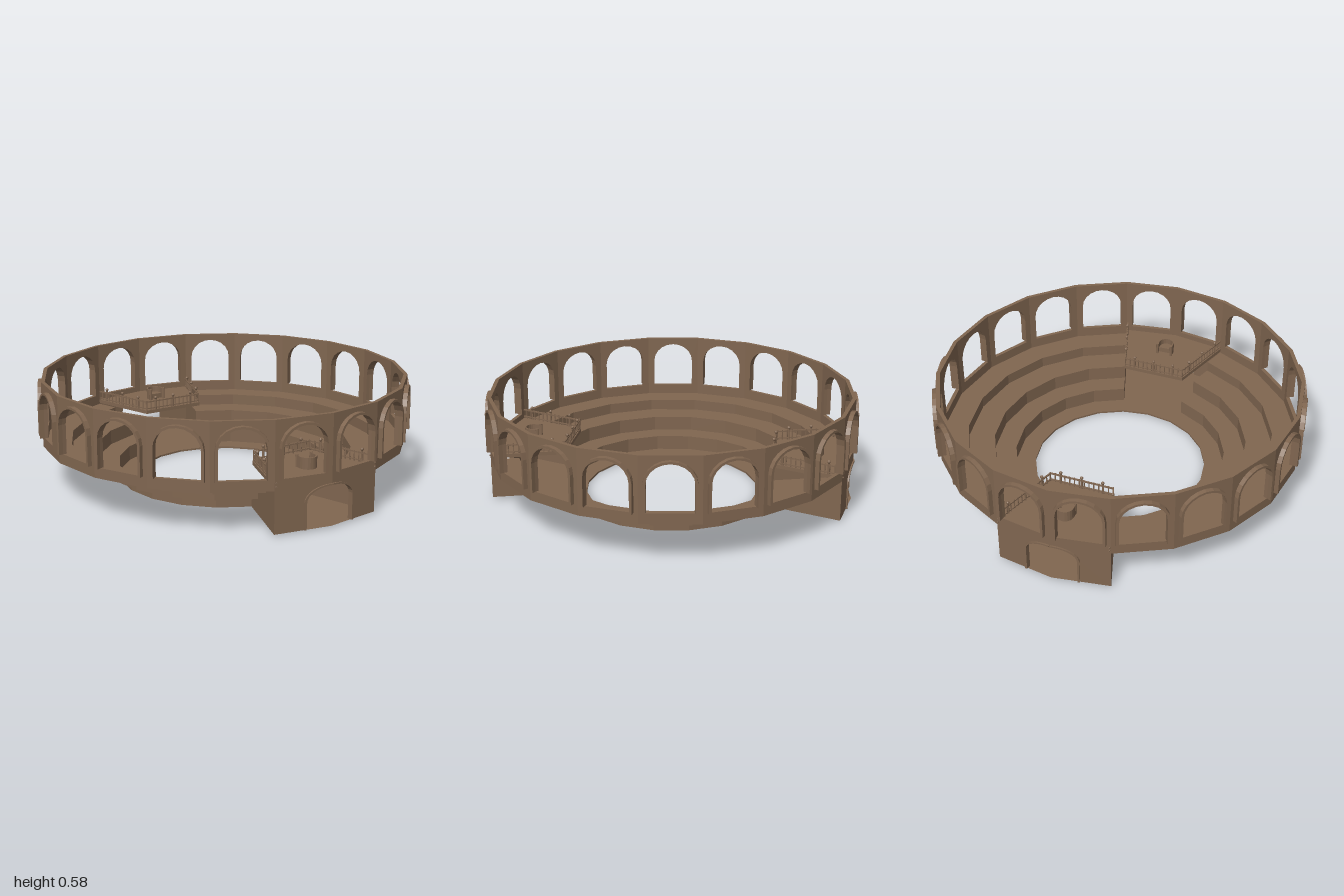
import * as THREE from 'three';

const SIDES = 20, STEP = (Math.PI * 2) / SIDES;
const R = 0.98;                              // outer wall corner radius
const APOTHEM = R * Math.cos(STEP / 2);
const HALF = R * Math.sin(STEP / 2);         // half of one wall side
const WALL = 0.02, FLOOR = 0.01, DECK = 0.255;

const stone = new THREE.MeshStandardMaterial({ color: 0x806650, flatShading: true, side: THREE.DoubleSide });
stone.name = 'brown stone';

function add(parent, name, geometry) {
  const flat = geometry.index ? geometry.toNonIndexed() : geometry;
  flat.computeVertexNormals();
  const mesh = new THREE.Mesh(flat, stone);
  mesh.name = name;
  parent.add(mesh);
  return mesh;
}

const shapeOf = (pts) => new THREE.Shape(pts.map(([x, y]) => new THREE.Vector2(x, y)));
const extrude = (shape, depth) => new THREE.ExtrudeGeometry(shape, { depth, bevelEnabled: false });

// Arch outline from lower right, over the top, to lower left
function archPoints(hw, bottom, spring, top, n = 10) {
  const pts = [[hw, bottom]];
  for (let i = 0; i <= n; i++) {
    const a = (Math.PI * i) / n;
    pts.push([hw * Math.cos(a), spring + (top - spring) * Math.sin(a)]);
  }
  pts.push([-hw, bottom]);
  return pts;
}

// Narrow a wall panel towards its inside so that neighbours meet in a mitre
function mitre(geometry) {
  const p = geometry.attributes.position;
  for (let i = 0; i < p.count; i++) p.setX(i, p.getX(i) * Math.min(1, p.getZ(i) / APOTHEM));
  return geometry;
}

function buildArcade(parent) {
  const arcade = new THREE.Group();
  arcade.name = 'arcade';
  const opening = archPoints(0.117, 0.285, 0.44, 0.545);
  const panel = shapeOf([[-HALF, 0.23], [HALF, 0.23], [HALF, 0.58], [-HALF, 0.58]]);
  panel.holes.push(new THREE.Path(opening.map(([x, y]) => new THREE.Vector2(x, y))));
  const wall = mitre(extrude(panel, WALL).translate(0, 0, APOTHEM - WALL));
  const trim = extrude(shapeOf([...archPoints(0.131, 0.285, 0.44, 0.557), ...opening.slice().reverse()]), 0.0236)
    .translate(0, 0, APOTHEM);
  for (let i = 0; i < SIDES; i++) {
    const phi = (i + 0.5) * STEP;
    add(arcade, 'archWall', wall).rotation.y = phi;
    add(arcade, 'archTrim', trim).rotation.y = phi;
  }
  parent.add(arcade);
}

// Stepped seating, the same sheet seen from above and below
const PROFILE = [[0.575, FLOOR], [0.575, 0.09], [0.69, 0.09], [0.69, 0.17], [0.83, 0.17], [0.83, 0.23], [0.975, 0.23]];

function buildSeating(parent) {
  const pts = PROFILE.map(([r, y]) => new THREE.Vector2(r, y));
  for (const start of [STEP, Math.PI + STEP]) {
    add(parent, 'seatingTiers', new THREE.LatheGeometry(pts, 8, start, 8 * STEP));
  }
  const ring = [[0.47, 0], [0.47, FLOOR], [0.575, FLOOR]].map(([r, y]) => new THREE.Vector2(r, y));
  add(parent, 'arenaRing', new THREE.LatheGeometry(ring, SIDES));
}

// Balustrade between two floor points, with ball-topped posts
function buildRailing(parent, [x0, z0], [x1, z1], balls) {
  const rail = new THREE.Group();
  rail.name = 'railing';
  const length = Math.hypot(x1 - x0, z1 - z0);
  const bar = (y, h) => add(rail, 'railBar', new THREE.BoxGeometry(length, h, 0.008).translate(0, y, 0));
  bar(0.01, 0.006);
  bar(0.049, 0.007);
  const count = Math.round(length / 0.027);
  for (let i = 0; i <= count; i++) {
    const x = (i / count - 0.5) * length;
    add(rail, 'baluster', new THREE.CylinderGeometry(0.0035, 0.0035, 0.056, 5).translate(x, 0.028, 0));
  }
  for (let i = 0; i < balls; i++) {
    const x = ((i + 0.5) / balls - 0.5) * length;
    add(rail, 'post', new THREE.CylinderGeometry(0.005, 0.006, 0.062, 6).translate(x, 0.031, 0));
    add(rail, 'finial', new THREE.SphereGeometry(0.009, 8, 6).translate(x, 0.068, 0));
  }
  rail.position.set((x0 + x1) / 2, DECK, (z0 + z1) / 2);
  rail.rotation.y = -Math.atan2(z1 - z0, x1 - x0);
  parent.add(rail);
}

// Curved seat of honour, open towards the arena
function buildThrone(parent) {
  const throne = new THREE.Group();
  throne.name = 'throne';
  const band = (r) => {
    const pts = [[r, -0.035]];
    for (let i = 0; i <= 10; i++) pts.push([r * Math.cos(Math.PI * i / 10), r * Math.sin(Math.PI * i / 10)]);
    pts.push([-r, -0.035]);
    return pts;
  };
  const slab = (pts, h, top) => extrude(shapeOf(pts), h).rotateX(Math.PI / 2).translate(0, top, 0);
  add(throne, 'throneBack', slab([...band(0.046), ...band(0.038).reverse()], 0.06, 0.06));
  add(throne, 'throneSeat', slab(band(0.038).map(([x, z]) => [x, Math.max(z, -0.015)]), 0.028, 0.028));
  for (const s of [-1, 1]) {
    add(throne, 'armKnob', new THREE.CylinderGeometry(0.008, 0.008, 0.064, 8).translate(s * 0.042, 0.032, -0.033));
  }
  throne.position.set(0, DECK, 0.778);
  parent.add(throne);
}

function buildEntrance(parent, turn) {
  const gate = new THREE.Group();
  gate.name = 'entrance';

  // Gate wall, folded at its middle, with a raised trim around the passage
  const curve = (hw, top) => archPoints(hw, FLOOR, 0.15, top, 16).slice(0, 10);
  const inner = curve(0.137, 0.222), outer = curve(0.149, 0.23);
  const wallPts = [...inner.slice().reverse(), [HALF * 2, FLOOR], [HALF * 2, 0.232], [0, 0.232]];
  const trimPts = [...outer, ...inner.slice().reverse()];
  for (const s of [-1, 1]) {
    const place = (pts) => shapeOf(pts.map(([x, y]) => [s * (x - HALF), y]));
    add(gate, 'gateWall', mitre(extrude(place(wallPts), WALL).translate(0, 0, APOTHEM - WALL))).rotation.y = s * STEP / 2;
    add(gate, 'gateTrim', extrude(place(trimPts), 0.008).translate(0, 0, APOTHEM)).rotation.y = s * STEP / 2;

    // Stepped side wall closing the end of the tiers
    const side = new THREE.ShapeGeometry(shapeOf([...PROFILE, [0.975, FLOOR]]));
    add(gate, 'sideWall', side).rotation.y = s * STEP - Math.PI / 2;

    // Small studs at the wall corners
    for (const y of [0.25, 0.27]) {
      add(gate, 'stud', new THREE.SphereGeometry(0.005, 6, 4).translate(s * 0.296, y, 0.936));
    }
  }

  // Passage floor
  const floorPts = [new THREE.Vector2(0.57, FLOOR), new THREE.Vector2(R, FLOOR)];
  add(gate, 'passageFloor', new THREE.LatheGeometry(floorPts, 2, -STEP, 2 * STEP));

  // Raised platform with railings and throne
  const deck = shapeOf([[-0.177, 0.55], [0.177, 0.55], [0.299, 0.92], [0, 0.965], [-0.299, 0.92]]);
  add(gate, 'platform', extrude(deck, 0.02).rotateX(Math.PI / 2).translate(0, DECK, 0));
  buildRailing(gate, [-0.173, 0.556], [0.173, 0.556], 3);
  buildRailing(gate, [0.174, 0.56], [0.293, 0.92], 3);
  buildRailing(gate, [-0.174, 0.56], [-0.293, 0.92], 3);
  buildThrone(gate);

  gate.rotation.y = turn;
  parent.add(gate);
}

export function createModel() {
  const model = new THREE.Group();
  model.name = 'amphitheatre';
  buildArcade(model);
  buildSeating(model);
  buildEntrance(model, 0);
  buildEntrance(model, Math.PI);
  return model;
}
